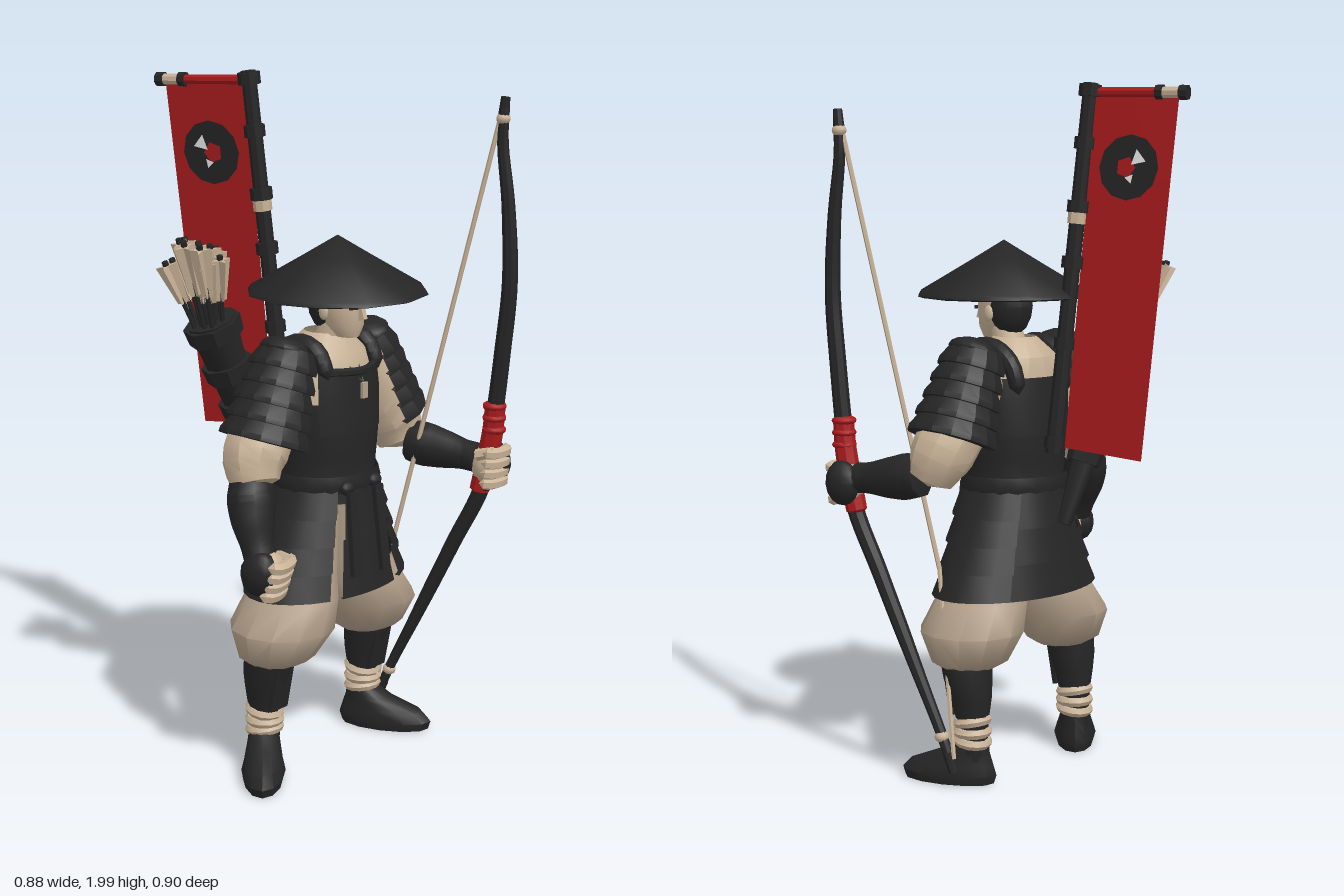
import * as THREE from 'three';
import { toCreasedNormals } from 'three/addons/utils/BufferGeometryUtils.js';
import { ParametricGeometry } from 'three/addons/geometries/ParametricGeometry.js';

const mat = (name, color) => new THREE.MeshStandardMaterial({ name, color, side: THREE.DoubleSide });
const V = (x, y, z) => new THREE.Vector3(x, y, z);

export function createModel() {
  const dark = mat('charcoal', 0x252526), beige = mat('beige', 0xc8b297), drab = mat('drab', 0xb3a08a);
  const red = mat('red', 0xa81b1d), white = mat('white', 0xf0f0f0);
  const root = new THREE.Group();
  root.name = 'archer';

  const add = (name, geo, m, parent = root, crease = 0.7) => {
    const mesh = new THREE.Mesh(toCreasedNormals(geo, crease), m);
    mesh.name = name;
    parent.add(mesh);
    return mesh;
  };
  const group = (name, parent = root) => {
    const g = new THREE.Group();
    g.name = name;
    parent.add(g);
    return g;
  };
  // Horizontal elliptical sections [x, y, z, rx, rz], listed from bottom to top
  const loft = (rings, n = 14, a0 = 0, a1 = Math.PI * 2) => new ParametricGeometry((u, v, t) => {
    const s = v * (rings.length - 1), i = Math.min(Math.floor(s + 1e-6), rings.length - 2);
    const [x, y, z, rx, rz] = rings[i].map((c, k) => c + (rings[i + 1][k] - c) * (s - i));
    const a = a0 + (a1 - a0) * u;
    t.set(x + rx * Math.sin(a), y, z + rz * Math.cos(a));
  }, n, rings.length - 1);
  // Tube of changing radius with closed ends
  const limb = (pts, radii, seg = 14, n = 9) => {
    const curve = new THREE.CatmullRomCurve3(pts.map(p => V(...p)));
    const g = new THREE.TubeGeometry(curve, seg, 1, n), pos = g.attributes.position, q = V(0, 0, 0);
    for (let i = 0; i <= seg; i++) {
      const c = curve.getPointAt(i / seg), s = i / seg * (radii.length - 1);
      const k = Math.min(Math.floor(s), radii.length - 2);
      const r = i === 0 || i === seg ? 0 : radii[k] + (radii[k + 1] - radii[k]) * (s - k);
      for (let j = 0; j <= n; j++) {
        const id = i * (n + 1) + j;
        q.fromBufferAttribute(pos, id).sub(c).multiplyScalar(r).add(c);
        pos.setXYZ(id, q.x, q.y, q.z);
      }
    }
    return g;
  };
  // Straight rod between two points
  const rod = (name, p, q, r0, r1, m, parent = root, n = 8) => {
    const a = V(...p), b = V(...q);
    const mesh = add(name, new THREE.CylinderGeometry(r1, r0, a.distanceTo(b), n), m, parent);
    mesh.position.copy(a).lerp(b, 0.5);
    mesh.quaternion.setFromUnitVectors(V(0, 1, 0), b.sub(a).normalize());
    return mesh;
  };
  const ball = (name, p, s, m, parent = root) => {
    const mesh = add(name, new THREE.SphereGeometry(1, 10, 8), m, parent);
    mesh.position.set(...p);
    mesh.scale.set(...s);
  };
  const box = (name, p, s, m, parent = root, rot = [0, 0, 0]) => {
    const mesh = add(name, new THREE.BoxGeometry(...s), m, parent);
    mesh.position.set(...p);
    mesh.rotation.set(...rot);
  };
  const mix = (a, b, t) => a.map((c, i) => c + (b[i] - c) * t);

  // Hat and head
  add('hat', loft([[-0.008, 1.41, 0.11, 0, 0], [-0.008, 1.385, 0.11, 0.24, 0.24], [-0.008, 1.39, 0.11, 0.257, 0.257],
    [-0.008, 1.402, 0.11, 0.25, 0.25], [-0.008, 1.49, 0.11, 0.1, 0.1], [-0.008, 1.55, 0.11, 0, 0]], 12), dark, root, 0.9);
  add('head', loft([[0, 1.262, 0.14, 0, 0], [0, 1.267, 0.14, 0.03, 0.035], [0, 1.3, 0.125, 0.05, 0.063],
    [0, 1.36, 0.115, 0.06, 0.075], [0, 1.42, 0.11, 0.058, 0.07]]), beige);
  ball('hair', [0, 1.36, 0.078], [0.066, 0.09, 0.068], dark);
  add('neck', loft([[0, 1.18, 0.06, 0.055, 0.055], [0, 1.32, 0.1, 0.045, 0.045]]), beige);
  box('nose', [0, 1.335, 0.19], [0.016, 0.035, 0.024], beige, root, [-0.3, 0, 0]);
  for (const s of [-1, 1]) {
    box('eye', [s * 0.026, 1.354, 0.184], [0.026, 0.009, 0.008], dark, root, [0, s * 0.35, 0]);
    ball('ear', [s * 0.062, 1.34, 0.105], [0.01, 0.024, 0.016], beige);
  }

  // Shirt and chest armour
  add('shirt', loft([[0, 0.8, 0.06, 0.14, 0.125], [0, 1.0, 0.06, 0.155, 0.125], [0, 1.15, 0.06, 0.16, 0.118],
    [0, 1.22, 0.055, 0.13, 0.108], [0, 1.275, 0.06, 0.06, 0.065]], 16), beige);
  add('waistArmour', loft([[0, 0.8, 0.06, 0.165, 0.145], [0, 0.87, 0.06, 0.15, 0.135], [0, 0.93, 0.06, 0.158, 0.138],
    [0, 1.02, 0.06, 0.168, 0.142], [0, 1.09, 0.06, 0.17, 0.137]], 18), dark);
  const chest = [[0, 1.0, 0.06, 0.169, 0.143], [0, 1.1, 0.06, 0.172, 0.139], [0, 1.185, 0.06, 0.165, 0.128]];
  add('breastPlate', loft(chest, 8, -0.88, 0.88), dark);
  add('backPlate', loft([chest[0], chest[1], [0, 1.165, 0.06, 0.165, 0.13]], 12, Math.PI - 1.3, Math.PI + 1.3), dark);
  add('chestRim', limb([[-0.125, 1.18, 0.15], [0, 1.175, 0.193], [0.125, 1.18, 0.15]], [0.012, 0.012], 10, 6), dark);
  add('belt', loft([[0, 0.83, 0.06, 0.163, 0.146], [0, 0.85, 0.06, 0.168, 0.152], [0, 0.88, 0.06, 0.16, 0.146]], 18), dark);
  box('pendant', [0, 1.12, 0.203], [0.022, 0.045, 0.009], drab);
  for (const s of [-1, 1]) {
    rod('cord', [0, 1.14, 0.2], [s * 0.05, 1.25, 0.115], 0.003, 0.003, dark, root, 5);
    add('shoulderStrap', limb([[s * 0.108, 1.16, 0.165], [s * 0.108, 1.235, 0.12], [s * 0.108, 1.25, 0.05],
      [s * 0.108, 1.2, -0.03], [s * 0.105, 1.12, -0.055]], [0.022, 0.028, 0.028, 0.022]), dark);
  }

  // Flared skirt: overlapping tiers in separate panels
  const skirtRing = (y, out) => {
    const k = (0.85 - y) / 0.3;
    return [0, y, 0.06, 0.155 + 0.118 * k + out, 0.142 + 0.028 * k + out];
  };
  const skirt = group('skirt');
  const panel = (name, a0, a1, tiers) => {
    for (let i = 0; i < tiers; i++) {
      const h = 0.3 / tiers, y = 0.85 - i * h;
      add(name, loft([skirtRing(y - h - 0.012, 0), skirtRing(y - h - 0.012, 0.014), skirtRing(y, 0.002)], 8, a0, a1), dark, skirt, 0.4);
    }
  };
  panel('frontPanel', -0.42, 0.38, 2);
  panel('leftPanel', 0.53, 2.5, 4);
  panel('rightPanel', -2.5, -0.57, 4);
  panel('backPanel', Math.PI - 0.65, Math.PI + 0.65, 3);
  for (const [x, l] of [[-0.075, 0.24], [0.045, 0.25]]) {
    box('beltTail', [x, 0.84 - l / 2, 0.232], [0.034, l, 0.016], dark, root, [-0.11, 0, x * 0.5]);
    ball('beltKnot', [x, 0.85, 0.205], [0.025, 0.02, 0.018], dark);
  }

  // Shoulder guards, sleeves, trousers and shins
  for (const s of [1, -1]) {
    const side = group(s > 0 ? 'leftSide' : 'rightSide');
    side.scale.x = s;
    const guard = group('shoulderGuard', side);
    guard.position.set(0.17, 1.215, 0.06);
    guard.rotation.z = 0.38;
    for (let i = 0; i < 5; i++) {
      const y = 0.03 - i * 0.052, r = 0.08 + i * 0.008;
      add('guardPlate', loft([[0, y - 0.062, 0, r - 0.01, r - 0.006], [0, y - 0.06, 0, r + 0.018, r + 0.022],
        [0, y - 0.045, 0, r + 0.017, r + 0.021], [0, y, 0, r - 0.006, r - 0.002]], 9, -0.35, Math.PI + 0.45), dark, guard, 0.4);
    }
    ball('guardCap', [0.015, 0.025, 0], [0.068, 0.036, 0.075], dark, guard);
    add('sleeve', limb([[0.13, 1.19, 0.055], [0.22, 1.07, 0.05], [0.303, 0.955, 0.06], [0.325, 0.87, 0.09]],
      [0.07, 0.085, 0.092, 0.093, 0.06]), beige, side);
    add('trouserLeg', loft([[0.2, 0.345, 0.05, 0, 0], [0.2, 0.335, 0.05, 0.085, 0.075], [0.2, 0.355, 0.05, 0.115, 0.11],
      [0.185, 0.44, 0.057, 0.15, 0.155], [0.145, 0.52, 0.058, 0.13, 0.14], [0.115, 0.59, 0.06, 0.103, 0.115],
      [0.08, 0.76, 0.06, 0.078, 0.1]], 12), drab, side, 0.9);
    add('shin', loft([[0.222, 0.07, 0.02, 0.04, 0.045], [0.222, 0.18, 0.02, 0.044, 0.048], [0.222, 0.25, 0.025, 0.06, 0.06],
      [0.224, 0.3, 0.035, 0.072, 0.07], [0.222, 0.36, 0.045, 0.078, 0.075]], 10), dark, side);
    box('shinGuard', [0.222, 0.26, 0.083], [0.07, 0.13, 0.016], dark, side, [0.2, 0, 0]);
    for (const y of [0.125, 0.152, 0.182]) {
      const wrap = add('ankleWrap', new THREE.TorusGeometry(0.043, 0.015, 6, 12), beige, side);
      wrap.position.set(0.222, y, 0.02);
      wrap.rotation.x = Math.PI / 2 + (y - 0.15) * 6;
    }
  }

  // Shoes, each turned out by its own angle
  for (const [x, turn] of [[0.218, 0.42], [-0.225, -0.85]]) {
    const shoe = group('shoe');
    shoe.position.set(x, 0, 0.02);
    shoe.rotation.y = turn;
    add('shoeUpper', loft([[0, 0, 0.075, 0, 0], [0, 0, 0.075, 0.057, 0.137], [0, 0.025, 0.075, 0.064, 0.145], [0, 0.055, 0.065, 0.056, 0.126],
      [0, 0.09, 0.025, 0.048, 0.075], [0, 0.125, 0, 0.042, 0.046]], 12), dark, shoe);
  }

  // Forearms and fists
  add('leftBracer', limb([[0.32, 0.9, 0.1], [0.345, 0.885, 0.2], [0.372, 0.87, 0.35]], [0.06, 0.068, 0.058, 0.045, 0.045]), dark);
  add('rightBracer', limb([[-0.325, 0.91, 0.07], [-0.35, 0.82, 0.095], [-0.37, 0.68, 0.15]], [0.06, 0.07, 0.062, 0.048, 0.045]), dark);
  const fist = (name, p, rot, s, glove) => {
    const f = group(name);
    f.position.set(...p);
    f.rotation.set(...rot);
    f.scale.setScalar(1.1);
    ball('palm', [0, 0, 0], [0.047, 0.058, 0.047], beige, f);
    ball('gloveBack', [s * 0.022, 0, glove], [0.04, 0.06, 0.052], dark, f);
    for (let i = 0; i < 4; i++)
      add('finger', limb([[-s * 0.05, 0.042 - i * 0.028, 0.01], [-s * 0.035, 0.042 - i * 0.028, 0.032],
        [s * 0.02, 0.042 - i * 0.028, 0.036], [s * 0.044, 0.042 - i * 0.028, 0.016]], [0.016, 0.017], 8, 6), beige, f);
    rod('thumb', [-s * 0.045, 0.03, -0.01], [-s * 0.03, 0.048, 0.035], 0.016, 0.014, beige, f, 6);
  };
  fist('leftFist', [0.376, 0.858, 0.365], [0.1, 0, 0], 1, 0);
  fist('rightFist', [-0.362, 0.664, 0.168], [0.35, 0.15, 0], -1, -0.012);

  // Bow with wrapped grip and string
  const bow = [[0.37, 1.92, 0.398], [0.37, 1.8, 0.392], [0.372, 1.62, 0.415], [0.372, 1.4, 0.427], [0.374, 1.2, 0.407],
    [0.374, 1.0, 0.383], [0.368, 0.8, 0.355], [0.352, 0.6, 0.262], [0.33, 0.34, 0.14], [0.314, 0.13, 0.04], [0.31, 0.05, 0.01]];
  add('bowStave', limb(bow, [0.014, 0.018, 0.022, 0.024, 0.025, 0.025, 0.024, 0.022, 0.017, 0.014], 60, 8), dark);
  rod('upperTip', [0.37, 1.87, 0.393], bow[0], 0.016, 0.013, dark);
  rod('lowerTip', [0.313, 0.105, 0.03], bow[10], 0.016, 0.013, dark);
  add('bowGrip', limb([[0.374, 1.06, 0.388], [0.374, 0.95, 0.378], [0.366, 0.755, 0.338]], [0.03, 0.032, 0.03], 14, 8), red);
  for (const y of [0.965, 1.0, 1.035]) ball('gripWrap', [0.374, y, 0.384], [0.036, 0.016, 0.036], red);
  ball('upperNock', [0.37, 1.86, 0.392], [0.021, 0.018, 0.021], beige);
  ball('lowerNock', [0.316, 0.15, 0.05], [0.021, 0.018, 0.021], beige);
  rod('upperString', [0.365, 1.86, 0.385], [0.262, 0.62, 0.11], 0.007, 0.007, beige, root, 6);
  rod('lowerString', [0.262, 0.62, 0.11], [0.308, 0.09, 0.01], 0.007, 0.007, beige, root, 6);

  // Banner pole, crossbar and cloth
  const poleA = [0.015, 0.95, -0.105], poleB = [-0.08, 1.99, -0.158];
  rod('bannerPole', poleA, poleB, 0.024, 0.021, dark);
  for (const [t, m, r] of [[0.03, dark, 0.03], [0.3, dark, 0.03], [0.52, dark, 0.032], [0.64, beige, 0.027], [0.67, dark, 0.032], [0.84, dark, 0.03], [0.98, dark, 0.032]])
    rod('poleRing', mix(poleA, poleB, t - 0.016), mix(poleA, poleB, t + 0.016), r, r, m);
  const barA = [-0.08, 1.965, -0.16], barB = [-0.152, 1.958, -0.445];
  rod('crossbar', barA, mix(barA, barB, 0.8), 0.014, 0.014, red);
  rod('crossbarEnd', mix(barA, barB, 0.75), mix(barA, barB, 0.93), 0.016, 0.016, beige);
  rod('crossbarKnob', mix(barA, barB, 0.92), barB, 0.021, 0.021, dark);
  rod('crossbarRing', mix(barA, barB, 0.68), mix(barA, barB, 0.75), 0.021, 0.021, dark);
  const cloth = (u, v, t, off = 0) => {
    const p = mix(mix([-0.083, 1.965, -0.175], [-0.143, 1.96, -0.423], u), mix([-0.005, 0.965, -0.13], [-0.055, 0.945, -0.37], u), v);
    t.set(p[0] + off, p[1], p[2]);
  };
  add('bannerCloth', new ParametricGeometry(cloth, 6, 8), red);
  // Plain round patch on both faces of the cloth
  const patch = (name, m, u0, v0, r, off, n, a = 0) => {
    for (const s of [-1, 1])
      add(name, new ParametricGeometry((u, v, t) => cloth(u0 + Math.cos(u * 6.2832 + a) * r * v / 0.25,
        v0 + Math.sin(u * 6.2832 + a) * r * v, t, s * off), n, 2), m);
  };
  patch('clothPatch', dark, 0.49, 0.205, 0.09, 0.004, 12);
  patch('patchCentre', red, 0.46, 0.205, 0.03, 0.006, 5);
  patch('patchFleck', white, 0.6, 0.18, 0.026, 0.007, 3, 0.3);
  patch('patchFleck', white, 0.52, 0.235, 0.015, 0.007, 3, 1.2);

  // Quiver slung across the back, with a bundle of arrows
  const qA = [-0.02, 0.74, -0.115], qB = [-0.245, 1.31, -0.155];
  rod('quiver', qA, qB, 0.02, 0.072, dark, root, 10);
  for (const t of [0.35, 0.55, 0.75, 0.96])
    rod('quiverBand', mix(qA, qB, t - 0.05), mix(qA, qB, t + 0.03), 0.032 + t * 0.05, 0.036 + t * 0.05, dark, root, 8);
  const arrows = group('arrows');
  for (let i = 0; i < 15; i++) {
    const a = i * 2.4, r = 0.088 * Math.sqrt((i + 0.5) / 15);
    const p = [-0.25 + Math.cos(a) * r * 0.5, 1.28, -0.15 + Math.sin(a) * r * 0.5];
    const q = [-0.298 + Math.cos(a) * r, 1.5 + 0.03 * Math.sin(i * 5.1), -0.16 + Math.sin(a) * r];
    rod('arrowShaft', p, q, 0.007, 0.007, dark, arrows, 5);
    rod('arrowNock', mix(p, q, 0.97), mix(p, q, 1.08), 0.01, 0.009, dark, arrows, 5);
    for (let k = 0; k < 2; k++) {
      const f = rod('feather', mix(p, q, 0.45), mix(p, q, 1.02), 0.016, 0.032, beige, arrows, 4);
      f.rotateY(a + k * Math.PI / 2);
      f.scale.z = 0.3;
    }
  }
  return root;
}
